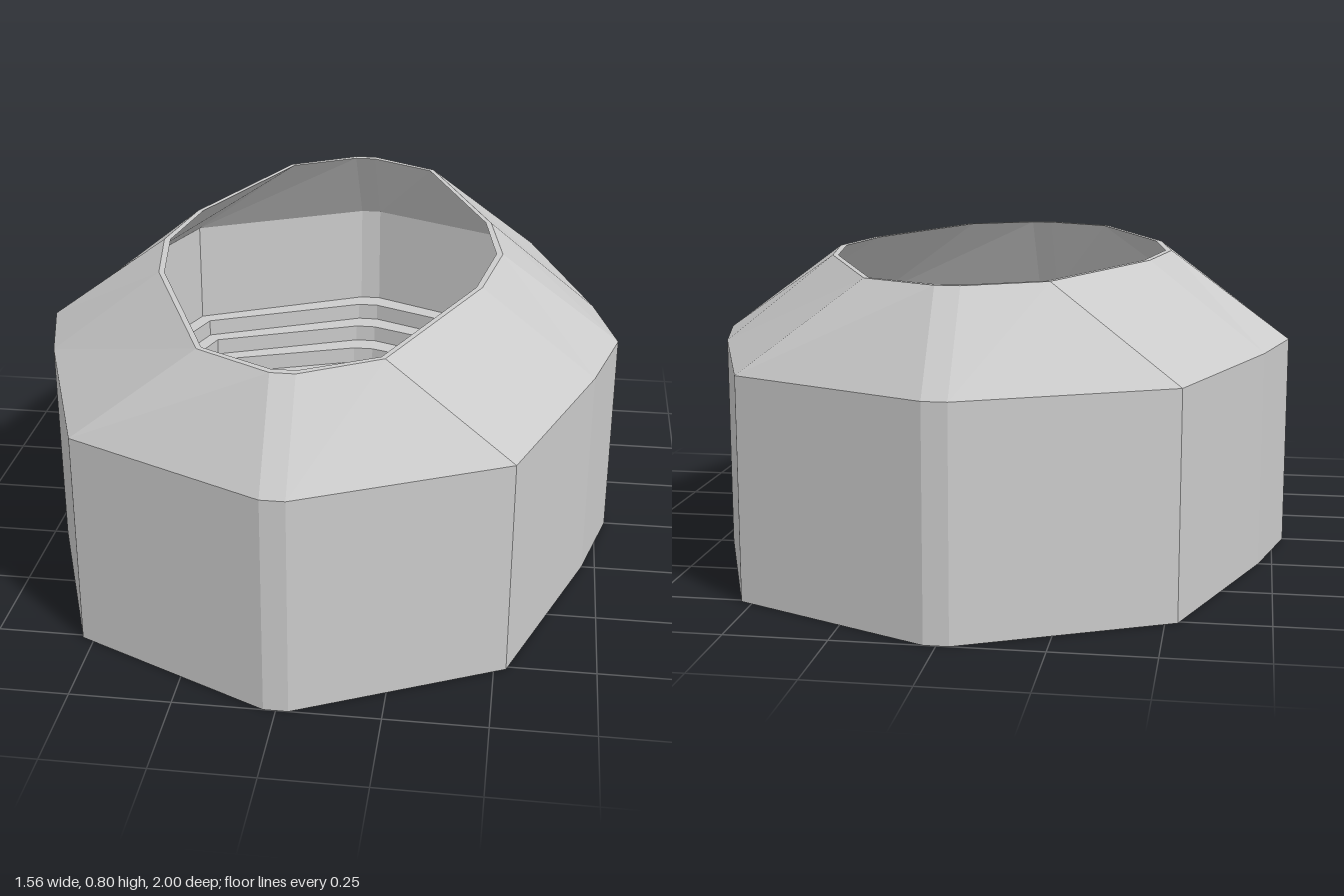
import * as THREE from 'three';

// Plan ring from a quarter outline: side, mid, corner, tip -> 14 points
function ring(q) {
  const [s, m, c, t] = q;
  const half = [s, m, c, t, [-t[0], t[1]], [-c[0], c[1]], [-m[0], m[1]]];
  return [...half, ...half.map(([x, z]) => [-x, -z])];
}
const mix = (a, b, k) => a.map((p, i) => [p[0] + (b[i][0] - p[0]) * k, p[1] + (b[i][1] - p[1]) * k]);

// Faceted strip through a list of [ring, height], with optional skipped facets
function loft(levels, skip = []) {
  const pos = [];
  for (let l = 0; l < levels.length - 1; l++) {
    const [r0, y0] = levels[l], [r1, y1] = levels[l + 1];
    for (let i = 0; i < r0.length; i++) {
      if (skip.includes(i)) continue;
      const j = (i + 1) % r0.length;
      const a = [r0[i][0], y0, r0[i][1]], b = [r1[i][0], y1, r1[i][1]];
      const c = [r0[j][0], y0, r0[j][1]], d = [r1[j][0], y1, r1[j][1]];
      pos.push(...a, ...b, ...c, ...c, ...b, ...d);
    }
  }
  const g = new THREE.BufferGeometry();
  g.setAttribute('position', new THREE.Float32BufferAttribute(pos, 3));
  g.computeVertexNormals();
  return g;
}

function plate(r, y, up) {
  const g = new THREE.ShapeGeometry(new THREE.Shape(r.map(([x, z]) => new THREE.Vector2(x, z))));
  return g.rotateX(up ? -Math.PI / 2 : Math.PI / 2).translate(0, y, 0);
}

export function createModel() {
  const group = new THREE.Group();
  const mat = new THREE.MeshStandardMaterial({ color: 0xcccccc, flatShading: true });
  const add = (name, geo) => {
    const m = new THREE.Mesh(geo, mat);
    m.name = name;
    group.add(m);
    return m;
  };
  const box = (name, w, h, d, x, y, z) => add(name, new THREE.BoxGeometry(w, h, d).translate(x, y + h / 2, z));

  const outer = ring([[0.78, 0], [0.715, 0.25], [0.53, 0.76], [0.03, 1]]);
  const rim = ring([[0.46, 0], [0.418, 0.25], [0.22, 0.725], [0.03, 0.835]]);
  const rimInner = ring([[0.443, 0], [0.403, 0.25], [0.21, 0.715], [0.03, 0.815]]);
  const pitch = ring([[0.49, 0], [0.45, 0.25], [0.37, 0.575], [0.03, 0.655]]);
  const inner = mix(outer, outer.map(() => [0, 0]), 0.004);
  const wallTop = 0.56, roofTop = 0.795, standTop = 0.255, step = 0.05, tiers = 5;

  // Shell
  add('outerWall', loft([[outer, 0], [outer, wallTop]]));
  add('roof', loft([[outer, wallTop], [rim, roofTop], [rimInner, roofTop], [inner, wallTop]]));
  add('innerWall', loft([[inner, wallTop], [inner, standTop]]));
  add('base', plate(outer, 0, false));
  add('field', plate(outer, 0.005, true));

  // Seating tiers step inward and down; the lowest leaves an aisle at each end
  let prev = inner;
  for (let t = 0; t < tiers; t++) {
    const y = standTop - t * step, last = t === tiers - 1;
    const edge = mix(inner, pitch, (t + 1) / tiers);
    add('seatingTier', loft([[prev, y], [edge, y], [edge, last ? 0.005 : y - step]], last ? [3, 10] : []));
    prev = edge;
  }

  // Aisle walls and step at both ends, benches at both sides
  for (const s of [-1, 1]) {
    box('aisleStep', 0.06, 0.03, 0.065, 0, 0, s * 0.69);
    box('aisleBack', 0.06, 0.104, 0.005, 0, 0, s * 0.7265);
    for (const k of [-1, 1]) box('aisleSide', 0.004, 0.054, 0.068, k * 0.032, 0, s * 0.69);
    box('sideBench', 0.065, 0.04, 0.09, s * 0.405, 0, s * -0.003);
  }
  return group;
}
